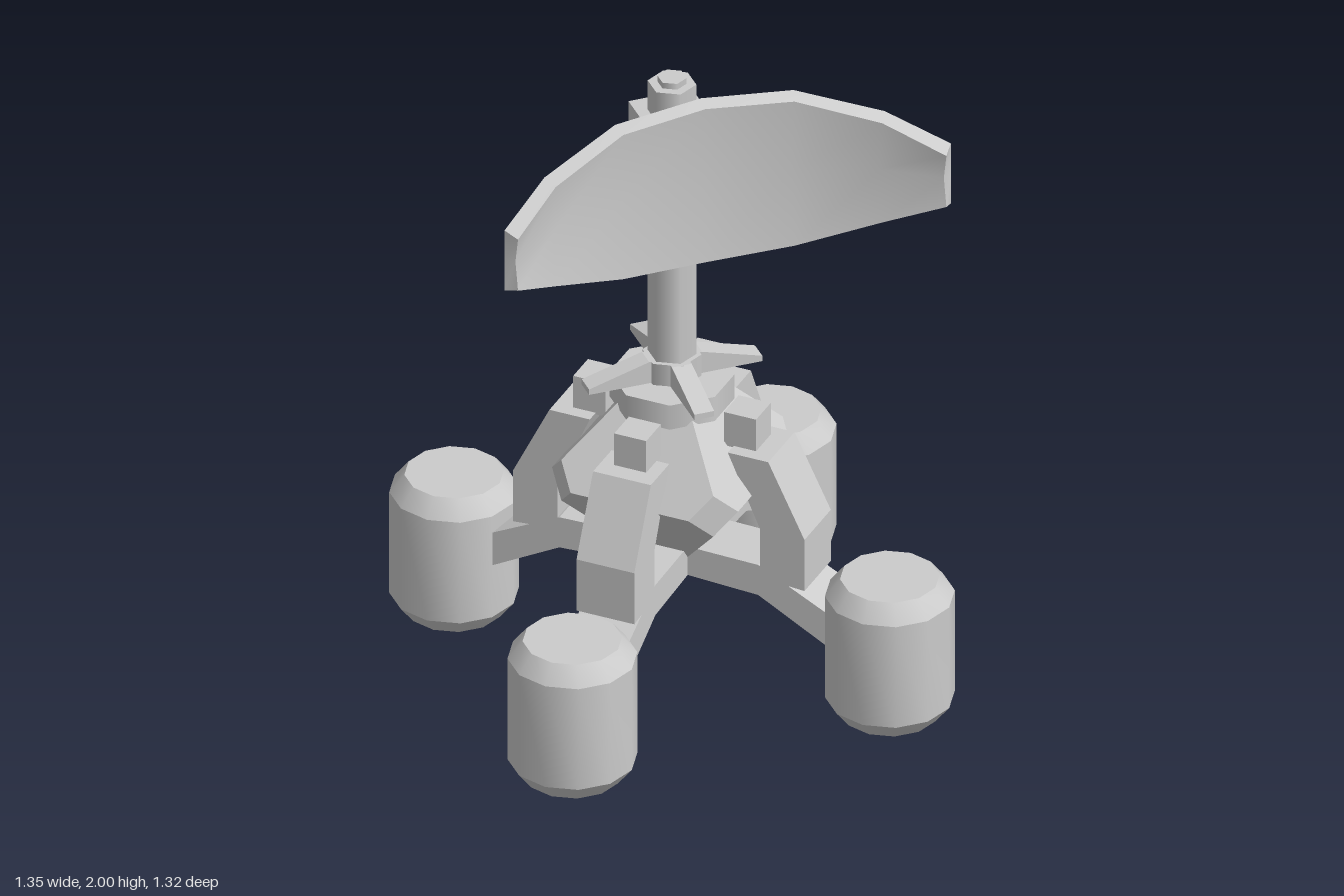
import * as THREE from 'three';
import { ConvexGeometry } from 'three/addons/geometries/ConvexGeometry.js';
import { toCreasedNormals } from 'three/addons/utils/BufferGeometryUtils.js';

const grey = new THREE.MeshStandardMaterial({ color: 0xcccccc });

function add(parent, name, geometry, x = 0, y = 0, z = 0) {
  const mesh = new THREE.Mesh(geometry, grey);
  mesh.name = name;
  mesh.position.set(x, y, z);
  parent.add(mesh);
  return mesh;
}

// Plate with a side profile of [distance, height] points, centred on its width
function plate(points, width) {
  const shape = new THREE.Shape(points.map(([r, y]) => new THREE.Vector2(r, y)));
  const geometry = new THREE.ExtrudeGeometry(shape, { depth: width, bevelEnabled: false });
  return geometry.translate(0, 0, -width / 2);
}

// Octahedron with its six corners cut off
function bodyGeometry(size, cut, squash) {
  const points = [];
  for (const a of [-size, size]) {
    for (const b of [-cut, cut]) {
      for (const [x, y, z] of [[a, b, 0], [a, 0, b], [b, a, 0], [0, a, b], [b, 0, a], [0, b, a]]) {
        points.push(new THREE.Vector3(x, y * squash, z));
      }
    }
  }
  return new ConvexGeometry(points);
}

// Curved reflector: a six-point section swept from right to left
function reflectorGeometry() {
  const half = [[0, 0.27, 0.235], [0.27, 0.255, 0.262], [0.515, 0.18, 0.345], [0.675, 0.1, 0.452]];
  const columns = [
    ...half.slice(1).reverse().map(([x, h, z]) => [-x, h, z]),
    ...half,
  ];
  const positions = [];
  for (const [x, h, z] of columns) {
    const fx = x * 0.96;
    const fh = h - 0.015;
    positions.push(x, -h, z, x, 0, z, x, h, z);
    positions.push(fx, fh, z + 0.037, fx, 0, z + 0.016, fx, -fh, z + 0.037);
  }
  const index = [];
  const quad = (a, b, c, d) => index.push(a, b, d, b, c, d);
  for (let i = 0; i < columns.length - 1; i++) {
    for (let j = 0; j < 6; j++) {
      const k = (j + 1) % 6;
      quad(i * 6 + j, i * 6 + k, i * 6 + 6 + k, i * 6 + 6 + j);
    }
  }
  const e = (columns.length - 1) * 6;
  for (const [a, b, c, d] of [[0, 1, 4, 5], [1, 2, 3, 4]]) {
    quad(d, c, b, a);
    quad(e + a, e + b, e + c, e + d);
  }
  const geometry = new THREE.BufferGeometry();
  geometry.setAttribute('position', new THREE.Float32BufferAttribute(positions, 3));
  geometry.setIndex(index);
  return toCreasedNormals(geometry, 0.6);
}

export function createModel() {
  const model = new THREE.Group();
  model.name = 'radarBuoy';

  add(model, 'body', bodyGeometry(0.335, 0.075, 0.9), 0, 0.665, 0);

  // Four corner units: bent leg, clamp, float arm and float
  const leg = plate([
    [0.316, 0.4], [0.454, 0.39], [0.454, 0.56], [0.341, 0.79], [0.215, 0.79], [0.316, 0.56],
  ], 0.18);
  const arm = plate([
    [0, 0.355], [0.31, 0.34], [0.55, 0.21], [0.55, 0.32], [0.31, 0.44], [0, 0.447],
  ], 0.18);
  const clamp = new THREE.BoxGeometry(0.1, 0.11, 0.1);
  const profile = [[0, 0], [0.142, 0], [0.185, 0.055], [0.185, 0.39], [0.142, 0.445], [0, 0.445]];
  const float = toCreasedNormals(
    new THREE.LatheGeometry(profile.map(([r, y]) => new THREE.Vector2(r, y)), 12), 0.6);
  for (let i = 0; i < 4; i++) {
    const corner = new THREE.Group();
    corner.name = 'cornerUnit';
    corner.rotation.y = Math.PI / 4 + i * Math.PI / 2;
    add(corner, 'leg', leg);
    add(corner, 'floatArm', arm);
    add(corner, 'clamp', clamp, 0.235, 0.84, 0);
    add(corner, 'float', float, 0.679, 0, 0);
    model.add(corner);
  }

  // Collar with four fins around the foot of the mast
  const collar = new THREE.CylinderGeometry(0.178, 0.178, 0.08, 8).rotateY(Math.PI / 8);
  add(model, 'collar', collar, 0, 0.91, 0);
  add(model, 'mastFoot', new THREE.CylinderGeometry(0.085, 0.085, 0.07, 6), 0, 0.985, 0);
  const fin = plate([[0, 0.95], [0.262, 0.95], [0.262, 0.968], [0.08, 1.02], [0, 1.02]], 0.06);
  for (let i = 0; i < 4; i++) add(model, 'fin', fin).rotation.y = i * Math.PI / 2;

  // Mast, head block and cap
  add(model, 'mast', new THREE.CylinderGeometry(0.07, 0.07, 0.7, 6), 0, 1.33, 0);
  add(model, 'headBlock', new THREE.BoxGeometry(0.192, 0.17, 0.192), 0, 1.735, 0);
  add(model, 'cap', new THREE.CylinderGeometry(0.07, 0.07, 0.1, 6), 0, 1.867, 0);
  add(model, 'capPin', new THREE.CylinderGeometry(0.042, 0.042, 0.03, 6), 0, 1.921, 0);

  // Reflector on its short bracket
  const bracket = new THREE.CylinderGeometry(0.058, 0.058, 0.16, 8).rotateX(Math.PI / 2);
  add(model, 'bracket', bracket, 0, 1.732, 0.165);
  add(model, 'reflector', reflectorGeometry(), 0, 1.73, 0);

  return model;
}
